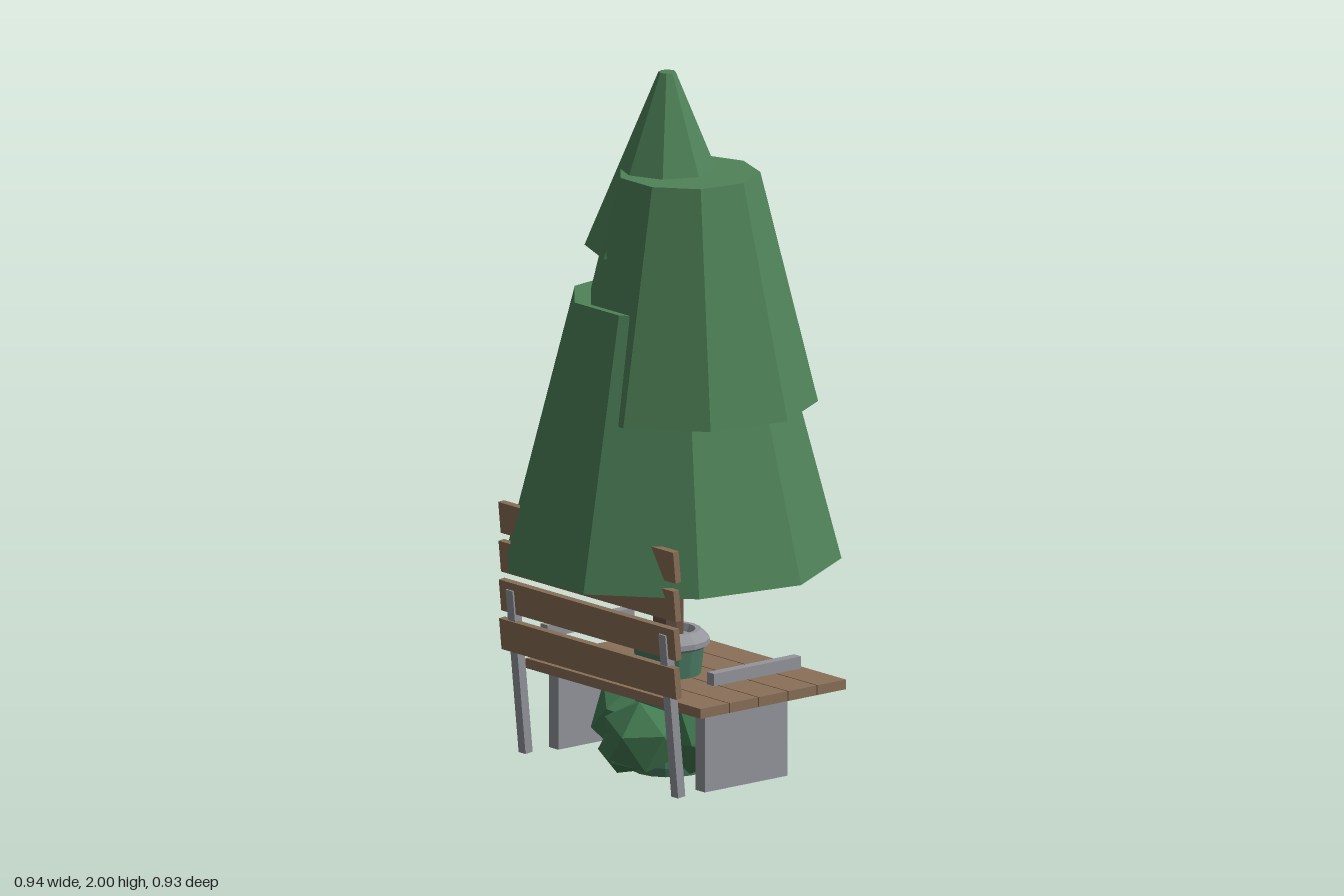
import * as THREE from 'three';

const mat = (color, extra = {}) => {
  const m = new THREE.MeshStandardMaterial({ flatShading: true, ...extra });
  m.color.set(color);
  return m;
};

export function createModel() {
  const model = new THREE.Group();
  const needles = mat(0x4f8258), leaf = mat(0x437a52), bark = mat(0x6b5344);
  const wood = mat(0x8a7058), metal = mat(0x94969c);
  const glaze = mat(0x4a7c62, { side: THREE.DoubleSide });

  const add = (name, geometry, material, x, y, z, parent = model) => {
    const mesh = new THREE.Mesh(geometry, material);
    mesh.name = name;
    mesh.position.set(x, y, z);
    parent.add(mesh);
    return mesh;
  };

  // Foliage tiers: top radius, bottom radius, bottom y, top y, sides, x, z
  const tiers = [
    ['lowerFoliage', 0.28, 0.477, 0.615, 1.37, 9, 0, 0.012],
    ['middleFoliage', 0.2, 0.36, 1.07, 1.725, 9, 0.05, -0.014],
    ['upperFoliage', 0.024, 0.23, 1.5, 2.0, 8, -0.025, 0],
  ];
  for (const [name, top, bottom, y0, y1, sides, x, z] of tiers) {
    const tier = add(name, new THREE.CylinderGeometry(top, bottom, y1 - y0, sides), needles, x, (y0 + y1) / 2, z);
    tier.rotation.y = Math.PI;
  }
  add('trunk', new THREE.CylinderGeometry(0.042, 0.045, 0.4, 9), bark, 0, 0.46, 0.015);

  // Round planter with a metal rim and dish
  const potProfile = [[0.02, 0.015], [0.105, 0.015], [0.11, 0.04], [0.092, 0.2], [0.09, 0.29], [0.1, 0.38]]
    .map(p => new THREE.Vector2(...p));
  add('planter', new THREE.LatheGeometry(potProfile, 16), glaze, 0, 0, 0.015);
  const rimProfile = [[0.09, 0.36], [0.115, 0.375], [0.115, 0.39], [0.09, 0.415], [0.075, 0.415], [0.065, 0.395], [0, 0.395]]
    .map(p => new THREE.Vector2(...p));
  add('planterRim', new THREE.LatheGeometry(rimProfile, 16), metal, 0, 0, 0.015);

  // Faceted shrubs around the planter: x, y, z, radius, turn
  const shrubs = [
    [-0.13, 0.14, 0.04, 0.118, 0.3],
    [0.14, 0.14, 0.02, 0.115, 1.1],
    [0.03, 0.13, 0.14, 0.11, 0.6],
    [0.04, 0.13, -0.06, 0.105, 1.9],
    [-0.07, 0.08, 0.11, 0.08, 2.4],
    [-0.08, 0.11, -0.05, 0.09, 0.9],
  ];
  for (const [x, y, z, r, turn] of shrubs) {
    const shrub = add('shrub', new THREE.IcosahedronGeometry(r, 0), leaf, x, y, z);
    shrub.rotation.set(turn * 0.7, turn, turn * 0.4);
    shrub.scale.y = 1.08;
  }

  // Bench
  const bench = new THREE.Group();
  bench.name = 'bench';
  model.add(bench);
  const box = (name, w, h, d, x, y, z, material) =>
    add(name, new THREE.BoxGeometry(w, h, d), material, x, y, z, bench);

  for (let i = 0; i < 5; i++) box('seatPlank', 0.756, 0.028, 0.102, 0, 0.275, 0.165 - i * 0.1058, wood);
  for (let i = 0; i < 4; i++) {
    box('backSlat', 0.756, 0.09, 0.02, 0, 0.375 + i * 0.111, 0.298 + i * 0.001, wood).rotation.x = 0.1;
  }
  for (const s of [-1, 1]) {
    box('sidePanel', 0.04, 0.225, 0.298, s * 0.317, 0.147, 0.017, metal);
    box('armrest', 0.03, 0.035, 0.315, s * 0.36, 0.363, 0.007, metal);
    box('rearPost', 0.03, 0.475, 0.026, s * 0.33, 0.273, 0.28, metal).rotation.x = 0.1;
  }
  return model;
}
